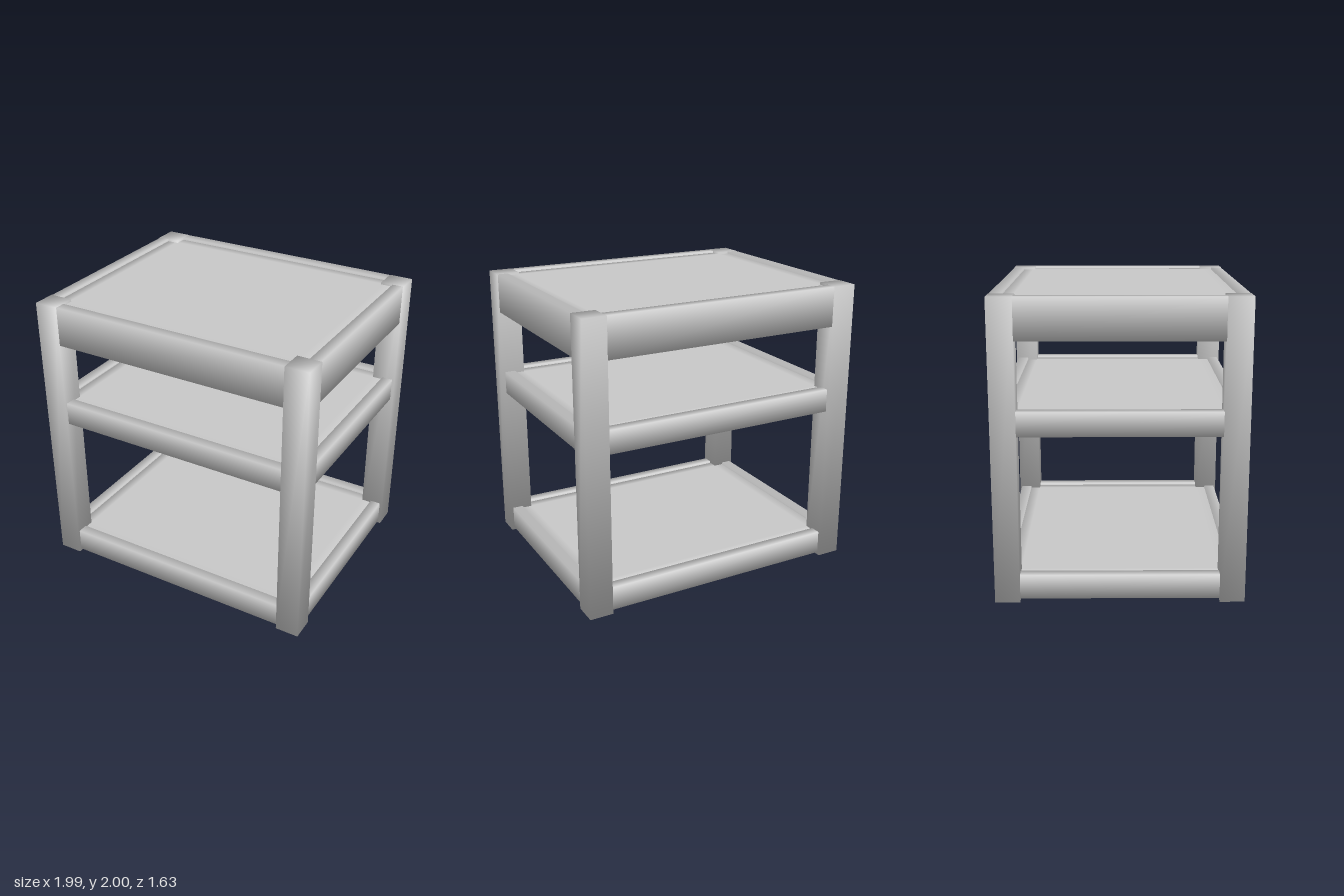
import * as THREE from 'three';

// Box whose normals blend around its edges; openAxis keeps shading constant along that axis
function softBox(w, h, d, openAxis = -1, inset = 0) {
  const n = inset ? 3 : 1;
  const geo = new THREE.BoxGeometry(w, h, d, n, 1, n);
  const half = [w / 2, h / 2, d / 2];
  const pos = geo.attributes.position;
  const nor = geo.attributes.normal;
  for (let i = 0; i < pos.count; i++) {
    const v = [pos.getX(i), pos.getY(i), pos.getZ(i)];
    const dir = v.map((c, a) => {
      const outer = Math.abs(c) > half[a] - 1e-4;
      // slide the inner grid lines out to a narrow border
      if (!outer && inset) v[a] = Math.sign(c) * (half[a] - inset);
      return outer && a !== openAxis ? Math.sign(c) : 0;
    });
    const m = new THREE.Vector3(...dir).normalize();
    pos.setXYZ(i, v[0], v[1], v[2]);
    nor.setXYZ(i, m.x, m.y, m.z);
  }
  return geo;
}

export function createModel() {
  const group = new THREE.Group();
  const grey = new THREE.MeshStandardMaterial({ color: 0xc8c8c8 });
  grey.name = 'grey';

  function add(parent, name, geo, x, y, z) {
    const mesh = new THREE.Mesh(geo, grey);
    mesh.name = name;
    mesh.position.set(x, y, z);
    parent.add(mesh);
  }

  // Four corner posts, each on a small glide
  const postGeo = softBox(0.163, 1.993, 0.163);
  const glideGeo = new THREE.CylinderGeometry(0.055, 0.045, 0.02, 8);
  for (const sx of [-1, 1]) {
    for (const sz of [-1, 1]) {
      const leg = new THREE.Group();
      leg.name = (sz > 0 ? 'front' : 'back') + (sx > 0 ? 'Left' : 'Right') + 'Leg';
      add(leg, 'post', postGeo, sx * 0.914, 1.0035, sz * 0.732);
      add(leg, 'glide', glideGeo, sx * 0.914, 0.01, sz * 0.732);
      group.add(leg);
    }
  }

  // Three tiers: a frame of four rails around a panel; the lower frames sit slightly back from the posts
  const tiers = [
    ['bottomShelf', 0.027, 0.19, 0.012],
    ['middleShelf', 1.12, 1.28, 0.012],
    ['top', 1.727, 2, 0],
  ];
  for (const [name, low, high, recess] of tiers) {
    const tier = new THREE.Group();
    tier.name = name;
    const h = high - low;
    const y = (low + high) / 2;
    const longRail = softBox(1.66, h, 0.075, 0);
    const sideRail = softBox(0.075, h, 1.305, 2);
    for (const s of [-1, 1]) {
      add(tier, s > 0 ? 'frontRail' : 'backRail', longRail, 0, y, s * (0.772 - recess));
      add(tier, s > 0 ? 'leftRail' : 'rightRail', sideRail, s * (0.952 - recess), y, 0);
    }
    add(tier, 'panel', softBox(1.83 - 2 * recess, 0.055, 1.47 - 2 * recess, -1, 0.07), 0, high - 0.0425, 0);
    group.add(tier);
  }
  return group;
}
